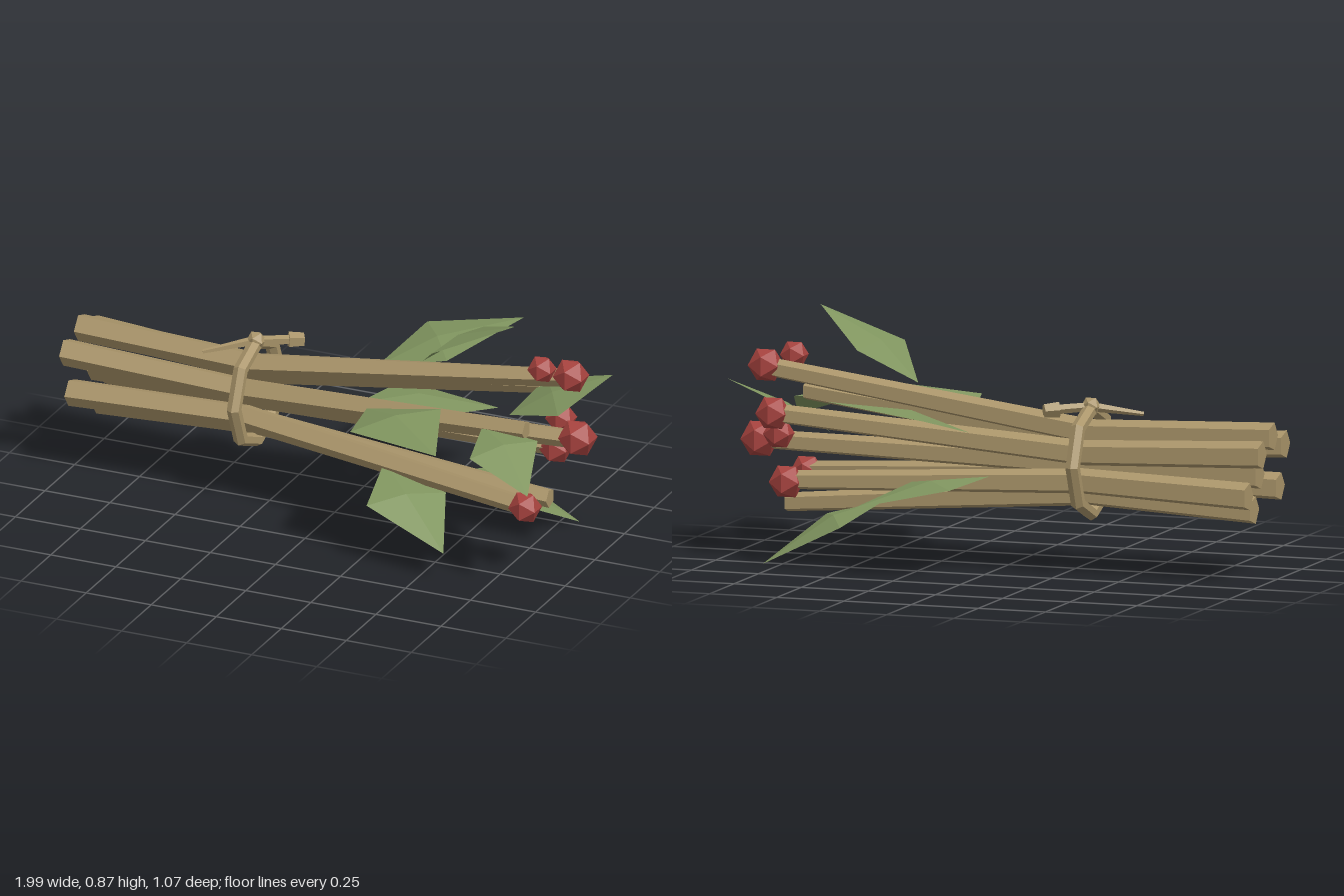
import * as THREE from 'three';

const V = (a) => new THREE.Vector3(...a);

function material(name, color) {
  const m = new THREE.MeshStandardMaterial({ color });
  m.name = name;
  return m;
}

// Give every triangle its own flat normal
function facet(geometry) {
  const g = geometry.index ? geometry.toNonIndexed() : geometry;
  g.computeVertexNormals();
  return g;
}

// Five-sided tapering stem with a bend where it is tied
function stemGeometry(stations) {
  const radii = [0.051, 0.047, 0.035];
  const g = new THREE.CylinderGeometry(1, 1, 2, 5, 2);
  const p = g.attributes.position;
  for (let i = 0; i < p.count; i++) {
    const k = Math.round(p.getY(i)) + 1;
    const [x, y, z] = stations[k];
    p.setXYZ(i, x, y - p.getX(i) * radii[k], z + p.getZ(i) * radii[k]);
  }
  return facet(g);
}

// Four-cornered leaf with a raised middle
function leafGeometry(base, sideA, tip, sideB) {
  const rim = [base, sideA, tip, sideB].map(V);
  const mid = rim[1].clone().add(rim[3]).multiplyScalar(0.5);
  mid.y += 0.02;
  const pts = [];
  for (let i = 0; i < 4; i++) pts.push(mid, rim[(i + 1) % 4], rim[i]);
  // Keep the outer face pointing up
  const n = rim[3].clone().sub(rim[1]).cross(rim[2].clone().sub(rim[0]));
  if (n.y > 0) pts.reverse();
  const g = new THREE.BufferGeometry().setFromPoints(pts);
  g.computeVertexNormals();
  return g;
}

// Straight five-sided piece between two points
function rodGeometry(a, b, r0, r1) {
  const from = V(a), to = V(b), dir = to.clone().sub(from);
  const g = new THREE.CylinderGeometry(r1, r0, dir.length(), 5);
  g.applyQuaternion(new THREE.Quaternion().setFromUnitVectors(new THREE.Vector3(0, 1, 0), dir.clone().normalize()));
  const c = from.add(to).multiplyScalar(0.5);
  return facet(g.translate(c.x, c.y, c.z));
}

export function createModel() {
  const model = new THREE.Group();
  model.name = 'berryBranchBundle';
  const wood = material('driedWood', 0xaa956a);
  const green = material('leafGreen', 0x80955f);
  green.side = THREE.DoubleSide;
  const red = material('berryRed', 0xa6423e);

  const add = (name, geometry, mat) => {
    const mesh = new THREE.Mesh(geometry, mat);
    mesh.name = name;
    model.add(mesh);
    return mesh;
  };

  // Stems: cut end, tied point, spread tip
  const tie = -0.32;
  [
    [[-1, 0.465, 0.08], [tie, 0.43, 0.055], [0.83, 0.545, 0.205]],
    [[-0.98, 0.315, 0.08], [tie, 0.33, 0.055], [0.83, 0.26, 0.215]],
    [[-0.93, 0.245, -0.045], [tie, 0.275, -0.04], [0.81, 0.185, -0.04]],
    [[-0.95, 0.31, -0.16], [tie, 0.33, -0.135], [0.73, 0.295, -0.235]],
    [[-1, 0.46, -0.16], [tie, 0.43, -0.135], [0.77, 0.53, -0.25]],
    [[-1, 0.51, -0.045], [tie, 0.49, -0.04], [0.88, 0.66, -0.04]],
    [[-0.95, 0.37, -0.045], [tie, 0.38, -0.04], [0.88, 0.41, -0.08]],
  ].forEach((s) => add('stem', stemGeometry(s), wood));

  // Berries: x, y, z, radius
  [
    [0.805, 0.7, 0.018, 0.052],
    [0.89, 0.667, -0.04, 0.065],
    [0.785, 0.532, -0.255, 0.064],
    [0.8, 0.445, -0.155, 0.057],
    [0.895, 0.413, -0.085, 0.071],
    [0.74, 0.29, -0.24, 0.064],
    [0.832, 0.258, 0.22, 0.06],
  ].forEach(([x, y, z, r]) => {
    add('berry', facet(new THREE.IcosahedronGeometry(r, 0)), red).position.set(x, y, z);
  });

  // Leaves: base, side, tip, side
  [
    [[0.33, 0.63, -0.02], [0.515, 0.75, -0.135], [0.73, 0.873, 0.08], [0.445, 0.75, 0.16]],
    [[0.2, 0.5, 0.17], [0.26, 0.53, 0.44], [0.63, 0.54, 0.53], [0.49, 0.555, 0.18]],
    [[0.66, 0.53, 0.2], [0.71, 0.5, 0.42], [0.955, 0.42, 0.47], [0.88, 0.52, 0.22]],
    [[0.25, 0.29, 0.13], [0.3, 0.235, 0.39], [0.6, 0.11, 0.4], [0.5, 0.23, 0.16]],
    [[0.43, 0.22, -0.06], [0.52, 0.145, -0.3], [0.815, 0, -0.28], [0.67, 0.15, -0.02]],
    [[0, 0.34, -0.2], [0.05, 0.325, -0.47], [0.385, 0.255, -0.537], [0.27, 0.315, -0.25]],
    [[0.07, 0.49, -0.2], [0.14, 0.565, -0.475], [0.49, 0.625, -0.522], [0.34, 0.56, -0.2]],
    [[0.63, 0.45, -0.09], [0.7, 0.54, -0.25], [0.99, 0.635, -0.175], [0.86, 0.525, 0.005]],
  ].forEach((c) => add('leaf', leafGeometry(...c), green));

  // Binding ring
  const ring = new THREE.TorusGeometry(0.186, 0.026, 6, 8).rotateY(Math.PI / 2);
  add('bindingRing', facet(ring), wood).position.set(tie, 0.39, -0.04);

  // Knot and its two loose ends
  const knot = [tie, 0.582, -0.04];
  add('knot', facet(new THREE.IcosahedronGeometry(0.036, 0)), wood).position.set(...knot);
  add('knotTail', rodGeometry(knot, [-0.48, 0.55, 0.06], 0.018, 0.008), wood);
  add('knotTail', rodGeometry(knot, [-0.2, 0.575, -0.12], 0.016, 0.018), wood);
  add('knotTailEnd', rodGeometry([-0.225, 0.576, -0.105], [-0.18, 0.573, -0.135], 0.029, 0.025), wood);

  return model;
}
